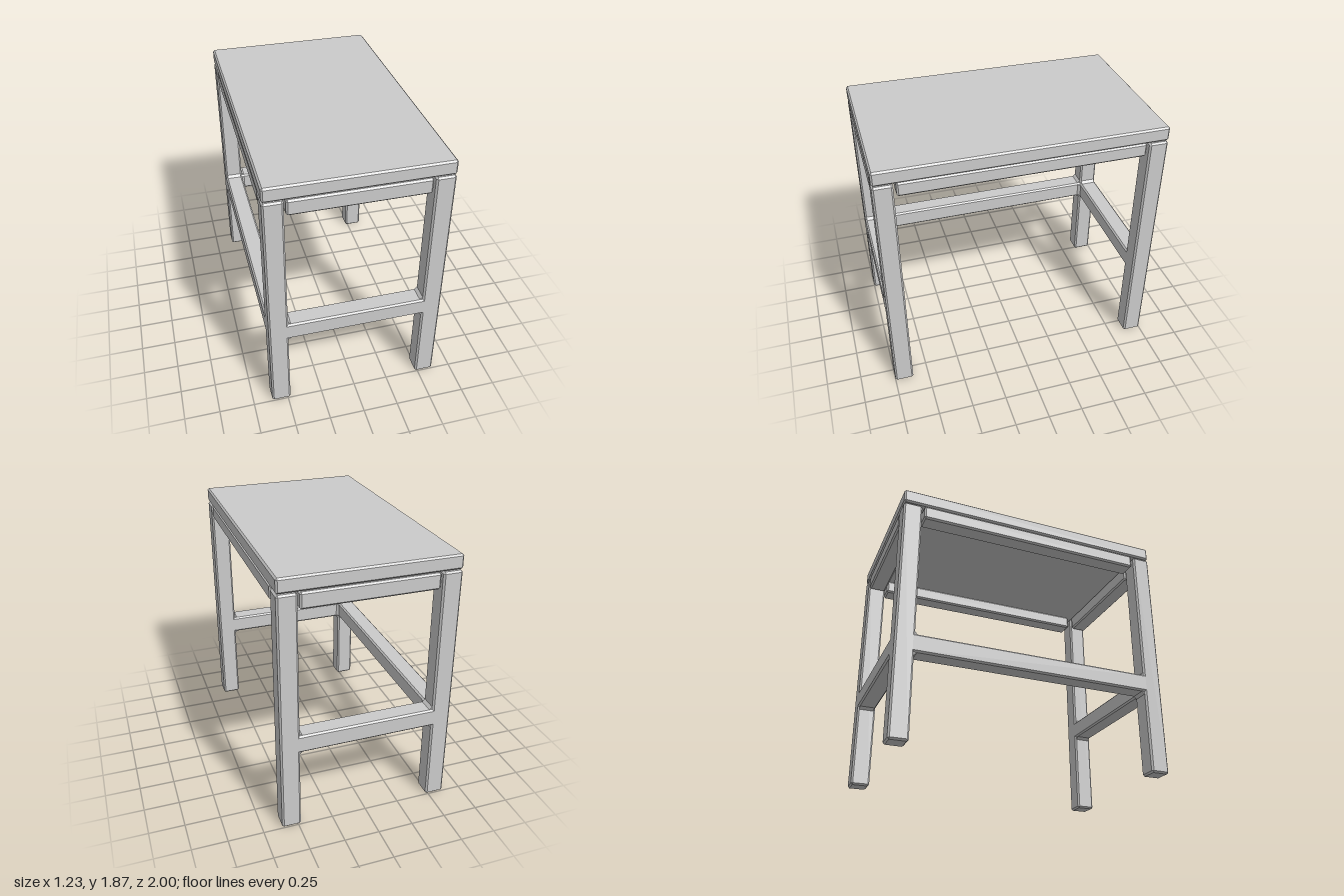
import * as THREE from 'three';
import { ConvexGeometry } from 'three/addons/geometries/ConvexGeometry.js';

const material = new THREE.MeshStandardMaterial({ color: 0xcccccc, flatShading: true });
const W = 0.615, D = 1, T = 0.135;      // half width, half depth, timber thickness
const legTop = 1.755, railLow = 0.605, railHigh = 0.735;

function addHull(parent, name, points) {
  const mesh = new THREE.Mesh(new ConvexGeometry(points), material);
  mesh.name = name;
  parent.add(mesh);
}

// Box between two corners with all edges chamfered by c
function addTimber(parent, name, min, max, c = 0.012) {
  const points = [];
  for (const i of [0, 1]) for (const j of [0, 1]) for (const k of [0, 1]) {
    const side = [i, j, k];
    for (let axis = 0; axis < 3; axis++) {
      const p = side.map((s, n) => {
        const inset = n === axis ? 0 : c;
        return s ? max[n] - inset : min[n] + inset;
      });
      points.push(new THREE.Vector3(...p));
    }
  }
  addHull(parent, name, points);
}

// Triangular prism: triangle corners and its two end offsets, mapped to 3D by place
function addFillet(parent, name, triangle, ends, place) {
  const points = [];
  for (const e of ends) for (const [u, v] of triangle) points.push(new THREE.Vector3(...place(u, v, e)));
  addHull(parent, name, points);
}

export function createModel() {
  const model = new THREE.Group();
  model.name = 'sideTable';
  const c = 0.012, f = 0.02;

  // Table top
  addTimber(model, 'tableTop', [-W, 1.763, -D], [W, 1.865, D]);

  // Legs, each with a short neck up to the top
  for (const sx of [-1, 1]) for (const sz of [-1, 1]) {
    const x = sx * (W - T / 2), z = sz * (D - T / 2), h = T / 2;
    addTimber(model, 'leg', [x - h, 0, z - h], [x + h, legTop, z + h]);
    addTimber(model, 'legNeck', [x - 0.038, 1.74, z - 0.038], [x + 0.038, 1.775, z + 0.038], 0.002);
  }

  // Rails under the top: two short, two long
  for (const s of [-1, 1]) {
    const z = s * (D - T / 2), x = s * (W - T / 2), h = T / 2 - 0.003;
    addTimber(model, 'shortRail', [-0.467, 1.642, z - h], [0.467, 1.755, z + h]);
    addTimber(model, 'longRail', [x - h, 1.662, -0.847], [x + h, 1.763, 0.847]);
  }

  // Front and back stretchers, plus one along the right-hand side
  const inX = W - T, inZ = D - T;
  for (const s of [-1, 1]) {
    const z = s * (D - T / 2);
    addTimber(model, 'endStretcher', [-inX - 0.05, railLow, z - T / 2], [inX + 0.05, railHigh, z + T / 2]);
  }
  addTimber(model, 'sideStretcher', [-W, railLow, -inZ - 0.05], [-inX, railHigh, inZ + 0.05]);

  // Corner fillets where stretchers meet legs
  for (const [y, dir] of [[railHigh, 1], [railLow, -1]]) for (const s of [-1, 1]) {
    const corner = (u) => [
      [u + c, y + dir * f], [u, y + dir * f], [u - f, y],
      [u - f, y - dir * c], [u + c, y - dir * c],
    ];
    for (const sx of [-1, 1]) {
      addFillet(model, 'endFillet', corner(inX), [inZ + c, D - c], (u, v, e) => [sx * u, v, s * e]);
    }
    addFillet(model, 'sideFillet', corner(inZ), [inX + c, W - c], (u, v, e) => [-e, v, s * u]);
  }

  // Inner fillets between neighbouring stretchers
  for (const s of [-1, 1]) {
    const tri = [[-inX - c, inZ + c], [-inX + f, inZ + c], [-inX + f, inZ], [-inX, inZ - f], [-inX - c, inZ - f]];
    addFillet(model, 'innerFillet', tri, [railLow + c, railHigh - c], (u, v, e) => [u, e, s * v]);
  }
  return model;
}
